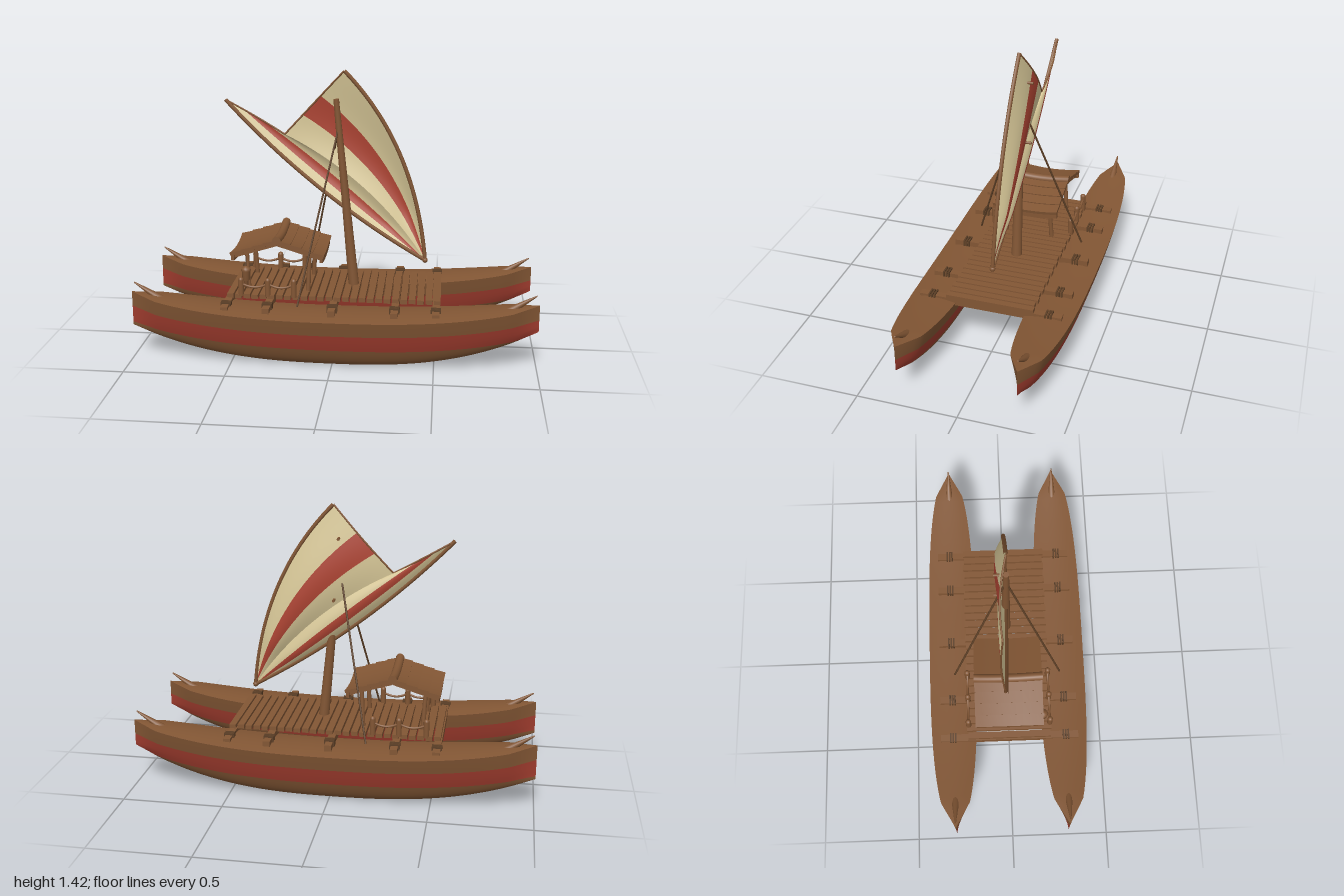
import * as THREE from 'three';

const paint = (name, color, side = THREE.FrontSide) => {
  const m = new THREE.MeshStandardMaterial({ color, side });
  m.name = name;
  return m;
};
const V = (x, y, z) => new THREE.Vector3(x, y, z);

// Grid surface: f(u, v) gives a point; the front is du x dv
function surface(f, nu, nv) {
  const pos = [], idx = [];
  for (let j = 0; j <= nv; j++) for (let i = 0; i <= nu; i++) pos.push(...f(i / nu, j / nv));
  for (let j = 0; j < nv; j++) for (let i = 0; i < nu; i++) {
    const a = j * (nu + 1) + i, c = a + nu + 1;
    idx.push(a, a + 1, c + 1, a, c + 1, c);
  }
  const g = new THREE.BufferGeometry();
  g.setAttribute('position', new THREE.Float32BufferAttribute(pos, 3));
  g.setIndex(idx);
  g.computeVertexNormals();
  return g;
}

export function createModel() {
  const root = new THREE.Group();
  root.name = 'sailingCatamaran';
  const wood = paint('wood', 0x825634);
  const rope = paint('rope', 0x5c3f26);
  const red = paint('red paint', 0xa03c2e);
  const cream = paint('cream sailcloth', 0xd8c898, THREE.DoubleSide);
  const redCloth = paint('red sailcloth', 0xae4433, THREE.DoubleSide);

  const add = (name, geo, mat, x = 0, y = 0, z = 0, parent = root) => {
    const m = new THREE.Mesh(geo, mat);
    m.name = name;
    m.position.set(x, y, z);
    parent.add(m);
    return m;
  };
  const box = (w, h, d) => new THREE.BoxGeometry(w, h, d);
  // Round bar between two points, r0 at the start and r1 at the end
  const bar = (name, a, b, r0, r1, mat = wood, sides = 12) => {
    const m = add(name, new THREE.CylinderGeometry(r1, r0, a.distanceTo(b), sides), mat);
    m.position.copy(a).add(b).multiplyScalar(0.5);
    m.quaternion.setFromUnitVectors(V(0, 1, 0), b.clone().sub(a).normalize());
    return m;
  };
  const tube = (name, curve, r, mat) =>
    add(name, new THREE.TubeGeometry(curve, 28, r, 8), mat);

  // Hull shape rules along x
  const halfWidth = x => {
    const a = Math.abs(x);
    return a < 0.87 ? 0.125 * Math.sqrt(1 - a ** 3) : 0.073 * (1 - a) / 0.13;
  };
  const sheer = x => 0.258 + 0.082 * Math.abs(x) ** 2.4;
  const keel = x => (x < 0 ? 0.165 : 0.205) * Math.abs(x) ** 2.6;
  const levels = [
    keel,
    x => Math.max(keel(x), sheer(x) - 0.16),
    x => Math.max(keel(x), sheer(x) - 0.075),
    sheer,
  ];
  const hullBand = (k, s) => surface((u, v) => {
    const x = s * (2 * u - 1), lo = levels[k](x), hi = levels[k + 1](x);
    const e = k === 0 ? v * v : v;
    const y = lo + (hi - lo) * e;
    const t = Math.max(0, (y - keel(x)) / (sheer(x) - keel(x)));
    return [x, y, s * halfWidth(x) * t ** 0.45];
  }, 60, k === 0 ? 12 : 4);
  const hullDeck = surface((u, v) => {
    const x = 2 * u - 1, q = 1 - 2 * v;
    return [x, sheer(x) + 0.014 * (1 - q * q) * halfWidth(x) / 0.125, q * halfWidth(x)];
  }, 60, 6);

  for (const side of [1, -1]) {
    const hull = new THREE.Group();
    hull.name = side > 0 ? 'frontHull' : 'backHull';
    hull.position.z = side * 0.29;
    root.add(hull);
    for (const s of [1, -1]) {
      add('hullBottom', hullBand(0, s), wood, 0, 0, 0, hull);
      add('hullStripe', hullBand(1, s), red, 0, 0, 0, hull);
      add('hullTopside', hullBand(2, s), wood, 0, 0, 0, hull);
    }
    add('hullDeck', hullDeck, wood, 0, 0, 0, hull);

    for (const s of [1, -1]) {
      // Upswept horn at each end
      bar('endHorn', V(s * 0.83, 0.29, side * 0.29), V(s * 0.985, 0.388, side * 0.29), 0.024, 0.003);
    }
    // Railing posts with sagging rope
    const z = side * 0.212, xs = [-0.465, -0.33, -0.2];
    xs.forEach((x, i) => {
      bar('railPost', V(x, 0.31, z), V(x, 0.392, z), 0.014, 0.014);
      add('railPostTop', new THREE.SphereGeometry(0.014, 12, 8), wood, x, 0.392, z);
      if (i) tube('railRope', new THREE.QuadraticBezierCurve3(
        V(xs[i - 1], 0.375, z), V((x + xs[i - 1]) / 2, 0.335, z), V(x, 0.375, z)), 0.006, wood);
    });
    // Hut posts
    for (const s of [1, -1])
      bar('hutPost', V(-0.29 + s * 0.15, 0.31, side * 0.125), V(-0.29 + s * 0.16, 0.52, side * 0.113), 0.012, 0.01);
    // Mast stay
    bar('maststay', V(0.005, 1.14, 0), V(-0.175, 0.285, side * 0.28), 0.005, 0.005, rope, 8);
  }

  // Cross beams with lashings
  for (const x of [-0.525, -0.32, 0, 0.305, 0.505]) {
    add('crossBeam', box(0.036, 0.036, 0.72), wood, x, 0.28, 0);
    for (const s of [1, -1]) for (const dz of [-0.013, 0, 0.013])
      add('beamLashing', box(0.05, 0.046, 0.008), rope, x, 0.283, s * 0.295 + dz);
  }
  // Deck slats
  for (let i = 0; i < 26; i++)
    add('deckSlat', box(0.033, 0.022, 0.43 + 0.012 * (i % 2)), wood, -0.52 + i * 0.0412, 0.307, 0);

  // Hut roof: overlapping planks that sag in the middle
  const sag = g => {
    const p = g.attributes.position;
    for (let i = 0; i < p.count; i++) p.setY(i, p.getY(i) + 0.015 * (p.getZ(i) / 0.17) ** 2);
    g.computeVertexNormals();
    return g;
  };
  const roof = new THREE.Group();
  roof.name = 'hutRoof';
  roof.position.set(-0.29, 0, 0);
  root.add(roof);
  for (const s of [1, -1]) {
    const base = add('roofBase', sag(new THREE.BoxGeometry(0.235, 0.02, 0.33, 1, 1, 10)), wood, s * 0.113, 0.518, 0, roof);
    base.rotation.z = -s * 0.3;
    for (let i = 0; i < 4; i++) {
      const plank = add('roofPlank', sag(new THREE.BoxGeometry(0.07, 0.016, 0.345, 1, 1, 10)), wood,
        s * (0.03 + i * 0.056), 0.557 - i * 0.018, 0, roof);
      plank.rotation.z = -s * 0.22;
    }
    add('eaveBeam', sag(new THREE.BoxGeometry(0.016, 0.04, 0.345, 1, 1, 10)), wood, s * 0.222, 0.484, 0, roof);
  }
  const ridge = new THREE.CylinderGeometry(0.022, 0.022, 0.35, 14, 10).rotateX(Math.PI / 2);
  add('ridgePole', sag(ridge), wood, 0, 0.57, 0, roof);

  // Hanging lantern
  const lantern = [[0, 0.335], [0.011, 0.345], [0.011, 0.375], [0.02, 0.382], [0.02, 0.425],
    [0.026, 0.43], [0.022, 0.442], [0.006, 0.452], [0, 0.452]].map(p => new THREE.Vector2(...p));
  add('lantern', new THREE.LatheGeometry(lantern, 12), wood, -0.445, 0, 0.175);
  bar('lanternCord', V(-0.445, 0.45, 0.175), V(-0.445, 0.5, 0.165), 0.003, 0.003, rope, 6);

  // Mast
  bar('mast', V(0.082, 0.3, 0), V(-0.01, 1.27, 0), 0.027, 0.014, wood, 16);

  // Claw-shaped sail: two bellied lobes fanning out from the tack
  const tack = V(0.442, 0.458, 0.008);
  const lower = new THREE.QuadraticBezierCurve3(tack, V(-0.118, 0.775, 0), V(-0.565, 1.255, -0.02));
  const crease = new THREE.QuadraticBezierCurve3(tack, V(0.17, 0.87, -0.025), V(-0.27, 1.085, -0.025));
  const upper = new THREE.QuadraticBezierCurve3(tack, V(0.385, 1.048, -0.01), V(0.03, 1.41, 0));
  const lobe = (a, b, depth) => (r, f) => {
    const p = a.getPoint(r).lerp(b.getPoint(r), f);
    p.z -= depth * Math.sin(Math.PI * f) * Math.sin(Math.PI * (0.12 + 0.72 * r)) * Math.min(1, r * 4);
    return p.toArray();
  };
  const lobes = { lower: lobe(lower, crease, 0.03), upper: lobe(crease, upper, 0.042) };
  const bands = [[0, 0.3, cream], [0.3, 0.6, redCloth], [0.6, 1, cream]];
  for (const [name, f] of Object.entries(lobes)) {
    for (const [f0, f1, mat] of bands)
      add(name + 'SailBand', surface((u, v) => f(u, f0 + (f1 - f0) * v), 30, 6), mat);
    // Trimmed outer edge
    const edge = [0, 0.2, 0.4, 0.6, 0.8, 1].map(t => V(...f(1, t)));
    tube(name + 'SailEdge', new THREE.CatmullRomCurve3(edge), 0.0045, wood);
  }
  tube('lowerSpar', lower, 0.01, wood);
  tube('upperSpar', upper, 0.01, wood);
  add('sparJoint', new THREE.SphereGeometry(0.014, 12, 8), wood, tack.x, tack.y, tack.z);
  // Sail ties on the mast
  for (const [x, y] of [[-0.002, 1.25], [0.022, 0.94]])
    bar('sailTie', V(x, y, 0), V(x, y, -0.06), 0.007, 0.007, wood, 8);

  return root;
}
